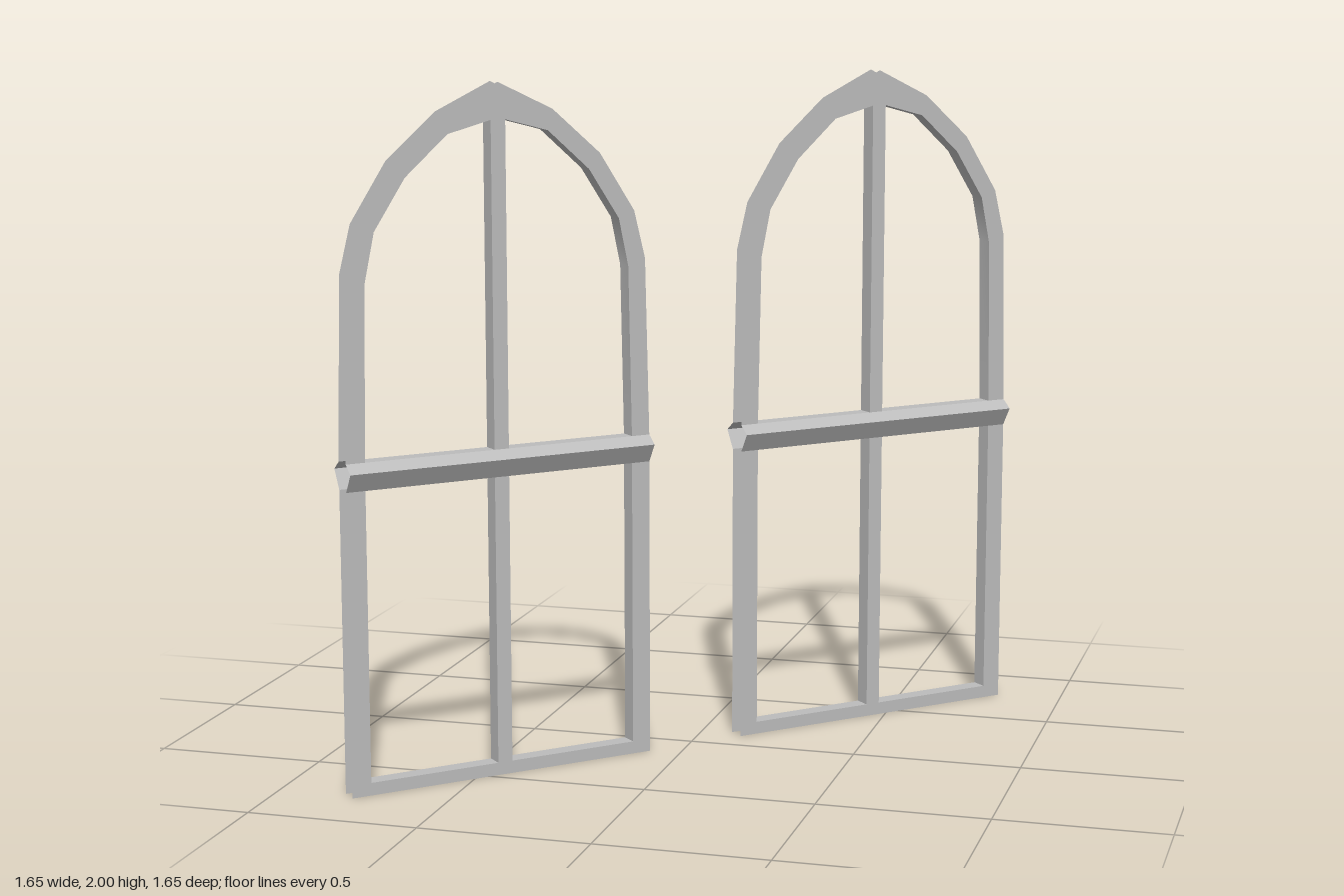
import * as THREE from 'three';

const W = 0.4775;   // half width of the frame
const IN = 0.42;    // half width between the stiles
const M = 0.0225;   // half width of the mullion
const T = 0.025;    // half thickness of the frame
const SILL = 0.037, RAIL_LOW = 0.88, RAIL_TOP = 0.96;

// right half of the pointed arch, springing to peak
const archOuter = [[0.465, 1.48], [0.43, 1.62], [0.32, 1.79], [0.17, 1.92], [0, 2]];
const archInner = [[IN, RAIL_TOP], [0.41, 1.46], [0.38, 1.6], [0.285, 1.745], [0.155, 1.86], [M, 1.895]];

const stone = new THREE.MeshStandardMaterial({ color: 0xbcbcbc, side: THREE.DoubleSide });
stone.name = 'grey stone';

function add(parent, name, geometry) {
  const mesh = new THREE.Mesh(geometry, stone);
  mesh.name = name;
  parent.add(mesh);
  return mesh;
}

// ribbon that sweeps a path of [x, y] points through the frame thickness
function ribbon(points, half = T, smooth = false) {
  const pos = [], index = [];
  points.forEach(([x, y], i) => {
    pos.push(x, y, -half, x, y, half);
    if (i > 0) {
      const a = 2 * i - 2;
      index.push(a, a + 1, a + 2, a + 1, a + 3, a + 2);
    }
  });
  let g = new THREE.BufferGeometry();
  g.setAttribute('position', new THREE.Float32BufferAttribute(pos, 3));
  g.setIndex(index);
  if (!smooth) g = g.toNonIndexed();
  g.computeVertexNormals();
  return g;
}

// flat plate from the right half of its outline, mirrored to the left
function plate(half) {
  const left = half.map(([x, y]) => [-x, y]).reverse();
  const pts = [...half, ...left].map(([x, y]) => new THREE.Vector2(x, y));
  return new THREE.ShapeGeometry(new THREE.Shape(pts));
}

function buildWindow() {
  const win = new THREE.Group();

  // faces of the sill, stiles, mullion and arch, front and back
  const lower = plate([[M, RAIL_LOW], [M, SILL], [IN, SILL], [IN, RAIL_LOW], [W, RAIL_LOW], [W, 0]]);
  const upper = plate([[M, RAIL_TOP], ...archInner.slice().reverse(), [W, RAIL_TOP], ...archOuter.slice(0, -1), [0, 2]]);
  for (const side of [1, -1]) {
    const face = new THREE.Group();
    face.name = side > 0 ? 'frontFace' : 'backFace';
    face.position.z = side * T;
    if (side < 0) face.rotation.y = Math.PI;
    add(face, 'lowerFrame', lower);
    add(face, 'archFrame', upper);
    win.add(face);

    // bevelled half of the middle rail
    const profile = [[T, RAIL_LOW], [0.058, 0.935], [T, RAIL_TOP]];
    const rail = add(win, 'middleRail', ribbon(profile.slice().reverse(), W));
    rail.rotation.y = side > 0 ? -Math.PI / 2 : Math.PI / 2;
  }

  // inner walls of the four openings
  for (const s of [1, -1]) {
    const flip = (pts) => pts.map(([x, y]) => [s * x, y]);
    add(win, 'lowerReveal', ribbon(flip([[M, RAIL_LOW], [M, SILL], [IN, SILL], [IN, RAIL_LOW], [M, RAIL_LOW]])));
    add(win, 'archReveal', ribbon(flip(archInner), T, true));
    add(win, 'upperReveal', ribbon(flip([[M, 1.895], [M, RAIL_TOP], [IN, RAIL_TOP]])));
  }

  // foot inside the one closed stile
  add(win, 'stileFoot', ribbon([[IN, SILL], [W, SILL]]));
  return win;
}

export function createModel() {
  const model = new THREE.Group();
  model.name = 'archedWindows';
  for (const s of [-1, 1]) {
    const win = buildWindow();
    win.name = s < 0 ? 'rightWindow' : 'leftWindow';
    win.position.set(s * 0.448, 0, -s * 0.448);
    win.rotation.y = Math.PI / 4;
    model.add(win);
  }
  return model;
}
